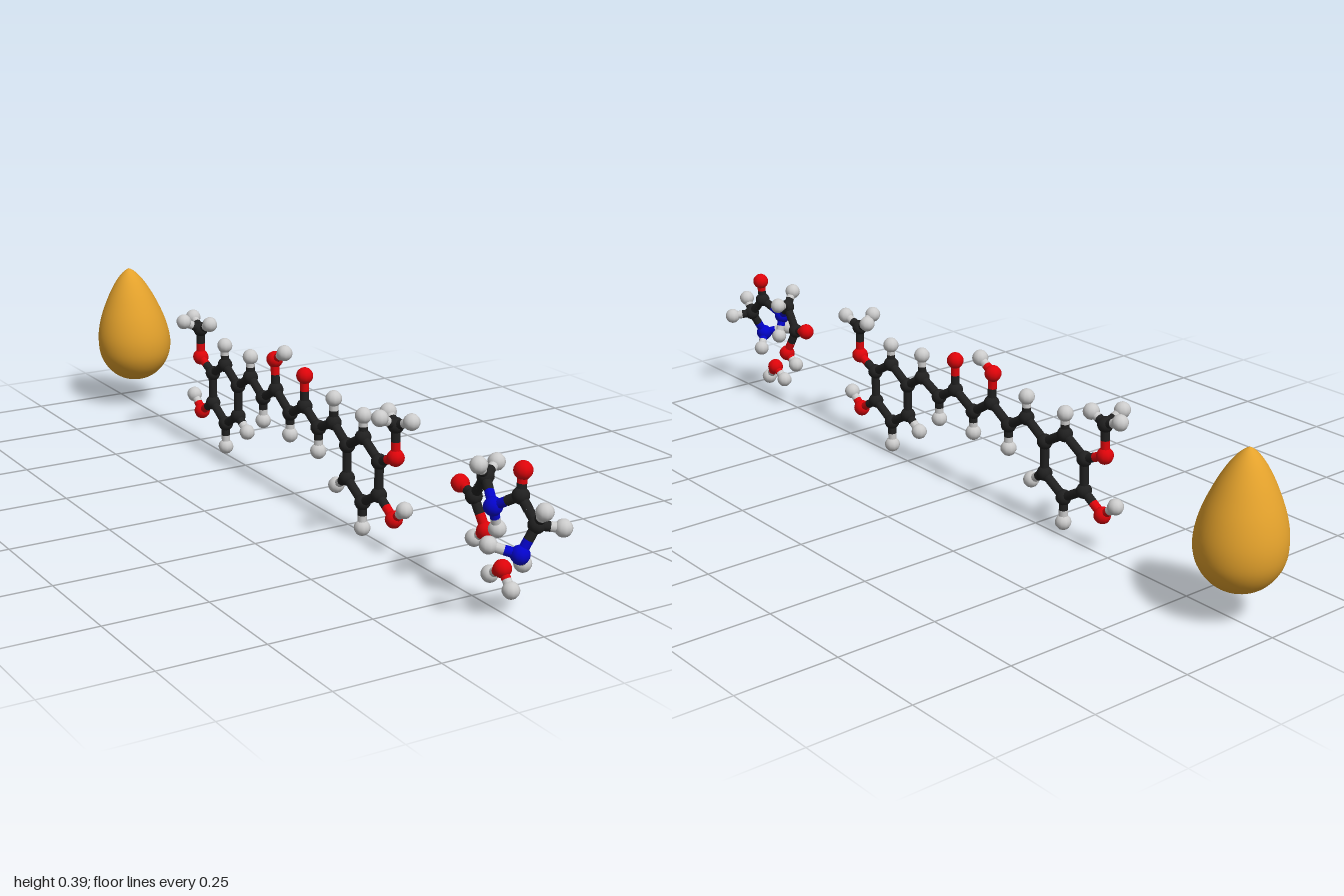
import * as THREE from 'three';

const COLORS = { C: 0x202020, O: 0xde040a, N: 0x0404cc, H: 0xcccccc };
const RADII = { C: 0.019, O: 0.0205, N: 0.021, H: 0.0195 };
const NAMES = { C: 'carbon', O: 'oxygen', N: 'nitrogen', H: 'hydrogen' };
const BOND_RADIUS = 0.011;
const PLANE_X = -0.011;

const mats = {};
for (const e in COLORS) mats[e] = new THREE.MeshStandardMaterial({ color: COLORS[e] });

// Half of a bond, from an atom to the bond's middle, in that atom's colour
function halfBond(from, to, element) {
  const dir = to.clone().sub(from);
  const mesh = new THREE.Mesh(
    new THREE.CylinderGeometry(BOND_RADIUS, BOND_RADIUS, dir.length(), 10, 1, true), mats[element]);
  mesh.position.copy(from).add(to).multiplyScalar(0.5);
  mesh.quaternion.setFromUnitVectors(new THREE.Vector3(0, 1, 0), dir.normalize());
  mesh.name = NAMES[element] + 'Bond';
  return mesh;
}

// Ball-and-stick molecule; atoms are [element, x, y, z], near neighbours are bonded
function molecule(name, atoms) {
  const group = new THREE.Group();
  group.name = name;
  const list = atoms.map(([e, x, y, z]) => ({ e, p: new THREE.Vector3(x, y, z) }));
  list.forEach((a, i) => {
    const ball = new THREE.Mesh(new THREE.SphereGeometry(RADII[a.e], 10, 10), mats[a.e]);
    ball.position.copy(a.p);
    ball.name = NAMES[a.e] + 'Atom';
    group.add(ball);
    for (const b of list.slice(i + 1)) {
      const hydrogens = (a.e === 'H') + (b.e === 'H');
      const reach = [0.085, 0.07, 0][hydrogens];
      if (a.p.distanceTo(b.p) > reach) continue;
      const mid = a.p.clone().lerp(b.p, 0.5);
      group.add(halfBond(a.p, mid, a.e), halfBond(b.p, mid, b.e));
    }
  });
  return group;
}

// Six-carbon ring with its side groups; s is +1 or -1 for the end of the chain
function ringEnd(s, y, z, r) {
  const atoms = [];
  for (let i = 0; i < 6; i++) {
    const a = (i * Math.PI) / 3;
    atoms.push(['C', PLANE_X, y + r * Math.cos(a), z + r * Math.sin(a)]);
  }
  const add = (e, dy, dz, dx = 0) => atoms.push([e, PLANE_X + dx, y + dy, z + s * dz]);
  // ring hydrogens
  add('H', 0.13, 0);
  add('H', -0.071, -0.115);
  add('H', -0.141, 0);
  // hydroxyl
  add('O', -0.079, 0.132);
  add('H', -0.044, 0.174);
  // methoxy
  add('O', 0.068, 0.135);
  add('C', 0.143, 0.134);
  add('H', 0.164, 0.187, 0.006);
  add('H', 0.168, 0.139, -0.046);
  add('H', 0.164, 0.093, 0.006);
  return atoms;
}

// Zigzag chain between the rings: [element, y, z]
const CHAIN = [
  ['C', 0.24, 0.2], ['C', 0.208, 0.131], ['C', 0.245, 0.067], ['C', 0.208, -0.003],
  ['C', 0.251, -0.072], ['C', 0.213, -0.136], ['C', 0.251, -0.2],
  ['H', 0.298, 0.2], ['H', 0.15, 0.131], ['H', 0.154, -0.003], ['H', 0.154, -0.136], ['H', 0.303, -0.2],
  ['O', 0.32, 0.067], ['O', 0.326, -0.077], ['H', 0.353, -0.029],
].map(([e, y, z]) => [e, PLANE_X, y, z]);

// Small folded molecule at the front
const DIPEPTIDE = [
  ['N', -0.025, 0.164, 0.944], ['H', -0.074, 0.181, 0.902], ['H', 0.003, 0.131, 0.917],
  ['C', 0.006, 0.226, 0.954], ['H', 0.004, 0.262, 0.981], ['H', 0.053, 0.219, 0.981],
  ['C', 0, 0.275, 0.906], ['O', 0.004, 0.328, 0.906],
  ['N', -0.025, 0.238, 0.848], ['H', -0.008, 0.184, 0.842],
  ['C', -0.003, 0.282, 0.789], ['H', -0.033, 0.316, 0.805], ['H', 0.042, 0.299, 0.765],
  ['C', 0, 0.224, 0.746], ['O', 0.003, 0.236, 0.692],
  ['O', 0.01, 0.155, 0.778], ['H', 0.005, 0.129, 0.744],
];

const WATER = [['O', 0.004, 0.095, 0.848], ['H', 0.004, 0.058, 0.88], ['H', 0.004, 0.069, 0.805]];

// Teardrop turned from a smooth profile, its tip leaning slightly to one side
function teardrop() {
  const profile = new THREE.SplineCurve([
    [0, 0.074], [0.03, 0.078], [0.058, 0.092], [0.081, 0.116], [0.096, 0.146], [0.101, 0.18],
    [0.098, 0.216], [0.087, 0.258], [0.07, 0.3], [0.053, 0.334], [0.034, 0.364], [0.015, 0.385], [0, 0.394],
  ].map(([r, y]) => new THREE.Vector2(r, y)));
  const points = profile.getPoints(40);
  points.forEach((p) => { p.x = Math.max(p.x, 0); });
  const geo = new THREE.LatheGeometry(points, 40);
  const pos = geo.attributes.position;
  for (let i = 0; i < pos.count; i++) {
    const lean = Math.max(0, (pos.getY(i) - 0.18) / 0.214);
    pos.setX(i, pos.getX(i) - 0.012 * lean);
  }
  const mesh = new THREE.Mesh(geo, new THREE.MeshStandardMaterial({ color: 0xe4a22c }));
  mesh.position.z = -0.898;
  mesh.name = 'teardrop';
  return mesh;
}

export function createModel() {
  const model = new THREE.Group();
  model.name = 'moleculeSet';
  model.add(
    molecule('longMolecule', [...ringEnd(1, 0.161, 0.329, 0.079), ...CHAIN, ...ringEnd(-1, 0.171, -0.335, 0.079)]),
    molecule('foldedMolecule', DIPEPTIDE),
    molecule('waterMolecule', WATER),
    teardrop(),
  );
  return model;
}
